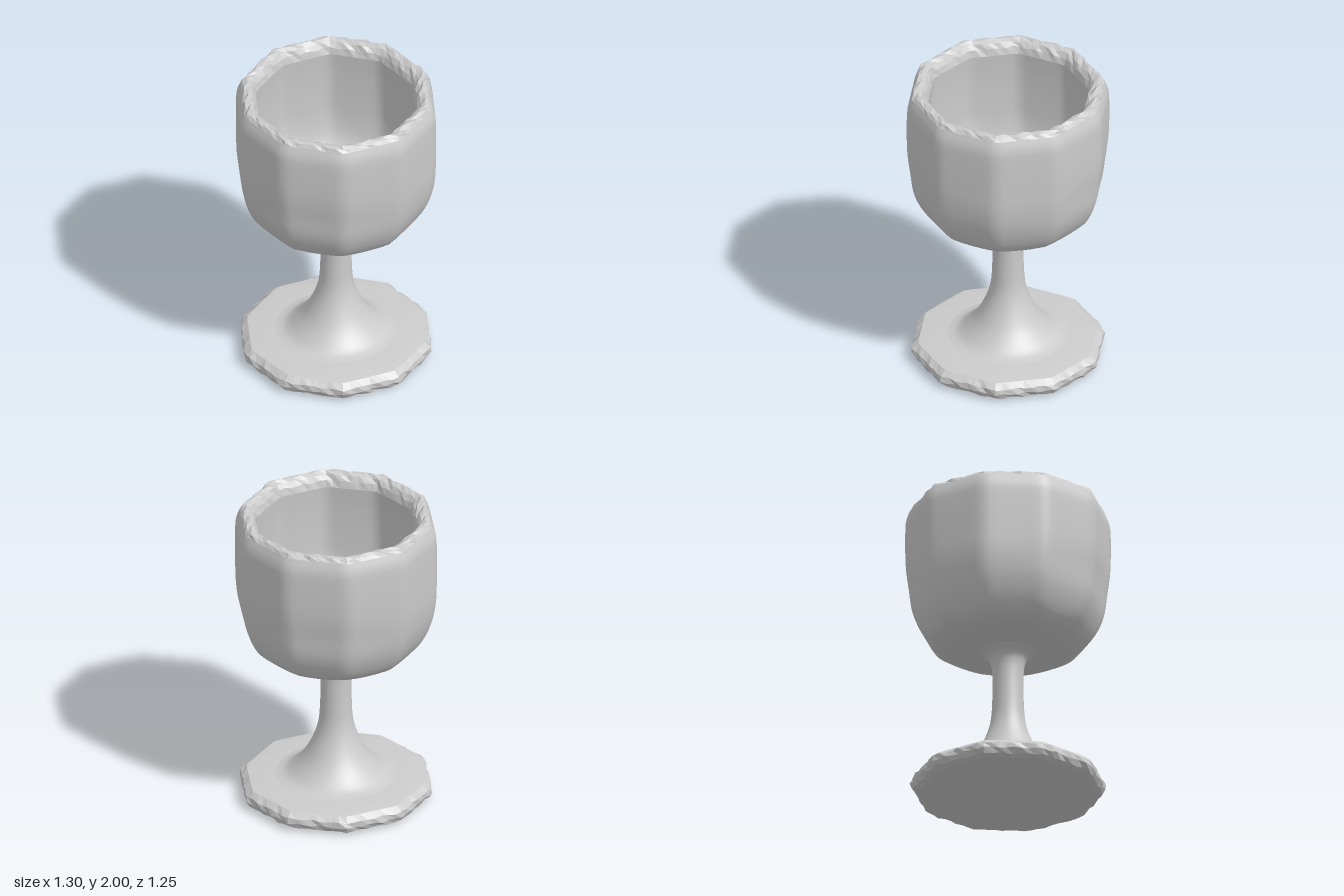
import * as THREE from 'three';
import { mergeVertices } from 'three/addons/utils/BufferGeometryUtils.js';

const SIDES = 10;

// Radius factor of a softened regular polygon with a corner on +x.
function polygonFactor(angle, amount) {
  const step = (2 * Math.PI) / SIDES;
  const a = angle - step * Math.round(angle / step - 0.5) - step / 2;
  const sharp = Math.cos(step / 2) / Math.cos(a);
  return 1 + (Math.min(sharp, 0.994) / 0.994 - 1) * amount;
}

// Smooth list of profile points through a few given ones.
function smooth(points, count) {
  return new THREE.SplineCurve(points.map(([r, y]) => new THREE.Vector2(r, y))).getPoints(count);
}

// Lathe whose rings are pulled to a polygon; facet(y, r) says how strongly.
// chip roughens the inner rows of the strip for a hand-cut edge.
function turned(name, profile, { facet = () => 1, chip = 0, segments = 80, flat = false, waist = 0 } = {}) {
  let geo = new THREE.LatheGeometry(profile, segments);
  const pos = geo.attributes.position;
  const rows = profile.length;
  for (let i = 0; i < pos.count; i++) {
    const x = pos.getX(i), z = pos.getZ(i);
    let y = pos.getY(i), r = Math.hypot(x, z);
    const angle = Math.atan2(z, x);
    const row = i % rows, col = Math.floor(i / rows) % segments;
    let k = polygonFactor(angle, facet(y, r));
    // Slight pinch of the front and back faces.
    k -= waist * Math.sin(angle) ** 2 * Math.exp(-(((y - 1.4) / 0.13) ** 2));
    if (chip && row > 0 && row < rows - 1) {
      const n = Math.sin(col * 2.4 + row * 1.7) * 0.6 + Math.sin(col * 5.1 + row * 4.3) * 0.4;
      k += n * chip;
      y += Math.sin(col * 1.9 + row * 2.9) * chip * 0.4;
    }
    pos.setXYZ(i, x * k, y, z * k);
  }
  geo.deleteAttribute('uv');
  geo.deleteAttribute('normal');
  geo = mergeVertices(geo, 1e-4);
  geo.computeVertexNormals();
  const mesh = new THREE.Mesh(geo, new THREE.MeshStandardMaterial({
    color: 0xcccccc, flatShading: flat, side: THREE.DoubleSide,
  }));
  mesh.name = name;
  return mesh;
}

export function createModel() {
  const cup = new THREE.Group();
  cup.name = 'goblet';

  // Bowl outside: ten soft facets fading out toward the stem
  const outside = smooth([[0.17, 0.985], [0.34, 1.0], [0.44, 1.03], [0.52, 1.085], [0.575, 1.17],
    [0.62, 1.29], [0.645, 1.43], [0.65, 1.6], [0.65, 1.82], [0.642, 1.9], [0.62, 1.96]], 48);
  cup.add(turned('bowlOutside', outside, {
    facet: (y) => THREE.MathUtils.smoothstep(y, 0.98, 1.12), waist: 0.025,
  }));

  // Rough cut rim
  const rim = [[0.62, 1.96], [0.605, 1.982], [0.58, 1.99], [0.55, 1.975], [0.53, 1.945], [0.518, 1.9]]
    .map(([r, y]) => new THREE.Vector2(r, y));
  cup.add(turned('rim', rim, { chip: 0.014, segments: 80, flat: true }));

  // Bowl inside, rounded floor
  const inside = smooth([[0.518, 1.9], [0.528, 1.75], [0.53, 1.55], [0.52, 1.4], [0.48, 1.26],
    [0.4, 1.16], [0.25, 1.11], [0.001, 1.1]], 36);
  cup.add(turned('bowlInside', inside, {
    facet: (y) => THREE.MathUtils.smoothstep(y, 1.12, 1.5),
  }));

  // Stem flaring into the foot and into the bowl
  const stem = smooth([[0.38, 0.137], [0.32, 0.155], [0.26, 0.205], [0.2, 0.28], [0.145, 0.39],
    [0.112, 0.5], [0.101, 0.62], [0.098, 0.8], [0.106, 0.9], [0.13, 0.95], [0.18, 0.987]], 40);
  cup.add(turned('stem', stem, { facet: () => 0, segments: 40 }));

  // Foot: smooth upper face, rough edge, flat underside
  const footTop = smooth([[0.575, 0.122], [0.5, 0.13], [0.38, 0.137]], 8);
  cup.add(turned('footTop', footTop, { facet: (y, r) => THREE.MathUtils.smoothstep(r, 0.38, 0.57) }));
  const footEdge = [[0.565, 0.005], [0.6, 0.022], [0.618, 0.055], [0.614, 0.09], [0.575, 0.122]]
    .map(([r, y]) => new THREE.Vector2(r, y));
  cup.add(turned('footEdge', footEdge, { chip: 0.012, flat: true }));
  const underside = [new THREE.Vector2(0.001, 0), new THREE.Vector2(0.565, 0.005)];
  cup.add(turned('footUnderside', underside));

  return cup;
}
